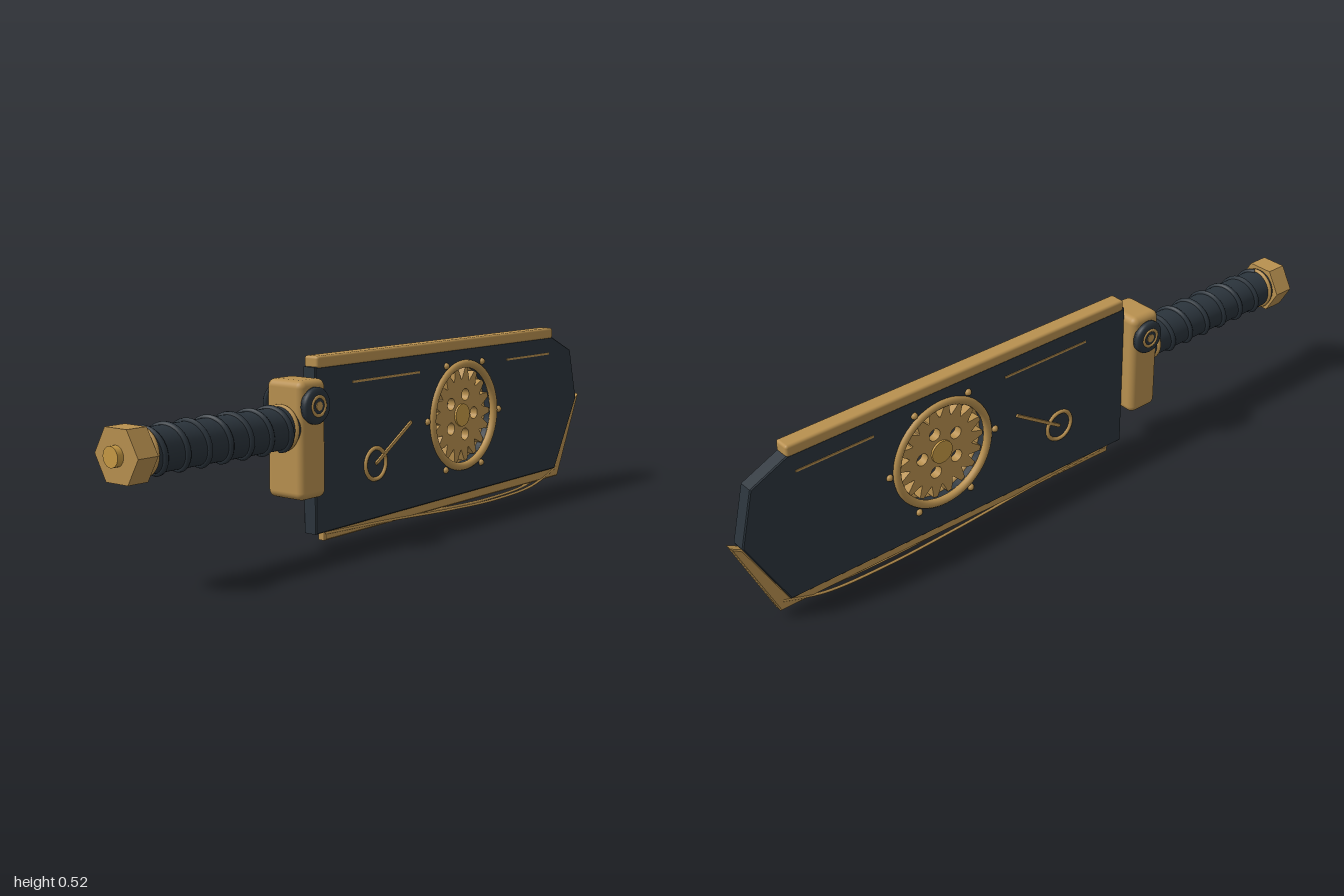
import * as THREE from 'three';
import { RoundedBoxGeometry } from 'three/addons/geometries/RoundedBoxGeometry.js';

const TAU = Math.PI * 2;
const HUB = new THREE.Vector2(0.347, 0.29);   // gear window centre
const AXIS_Y = 0.34;                          // handle height

export function createModel() {
  const model = new THREE.Group();
  model.name = 'mechanicalCleaver';
  const brass = new THREE.MeshStandardMaterial({ name: 'brass', color: 0xb8904f });
  const steel = new THREE.MeshStandardMaterial({ name: 'dark steel', color: 0x2b343c });
  const gold = new THREE.MeshStandardMaterial({ name: 'bright gold', color: 0xc79a45 });

  function add(name, geometry, material, x = 0, y = 0, z = 0, parent = model) {
    const mesh = new THREE.Mesh(geometry, material);
    mesh.name = name;
    mesh.position.set(x, y, z);
    parent.add(mesh);
    return mesh;
  }
  const shapeOf = (pts) => new THREE.Shape(pts.map(([x, y]) => new THREE.Vector2(x, y)));
  const circle = (x, y, r) => new THREE.Path().absarc(x, y, r, 0, TAU, true);
  // extrusion centred on z = 0, with a small bevel inside the total depth
  function plate(shape, depth, bevel = 0) {
    const g = new THREE.ExtrudeGeometry(shape, {
      depth: depth - 2 * bevel, curveSegments: 48, bevelEnabled: bevel > 0,
      bevelSize: bevel, bevelThickness: bevel, bevelOffset: -bevel, bevelSegments: 1,
    });
    return g.translate(0, 0, -depth / 2 + bevel);
  }
  // cylinder along z / along x
  const discZ = (r, h, n = 32) => new THREE.CylinderGeometry(r, r, h, n).rotateX(Math.PI / 2);
  const rodX = (r, h, n = 32) => new THREE.CylinderGeometry(r, r, h, n).rotateZ(Math.PI / 2);

  // Blade body with a round window
  const blade = shapeOf([[-0.315, 0.04], [0.85, 0.06], [0.97, 0.28], [0.93, 0.44], [0.82, 0.49], [-0.315, 0.49]]);
  blade.holes.push(circle(HUB.x, HUB.y, 0.15));
  add('blade', plate(blade, 0.044, 0.003), steel);

  // Spine cap along the back of the blade
  add('spine', new RoundedBoxGeometry(1.13, 0.034, 0.048, 3, 0.008), brass, 0.257, 0.502);

  // Cutting edge and pointed tip
  const edge = shapeOf([[-0.27, 0.015], [0.88, 0.03], [0.997, 0.29], [0.965, 0.272], [0.85, 0.065], [-0.27, 0.047]]);
  add('cuttingEdge', plate(edge, 0.028, 0.004), brass);

  // Two bowed wires under the edge
  for (const z of [-0.012, 0.012]) {
    const bow = new THREE.CatmullRomCurve3([
      [-0.27, 0.036], [0.0, 0.026], [0.3, 0.01], [0.54, 0.005], [0.74, 0.019], [0.87, 0.06],
    ].map(([x, y]) => new THREE.Vector3(x, y, z)));
    add('edgeWire', new THREE.TubeGeometry(bow, 48, 0.004, 8), brass);
  }

  // Gear inside the window
  const teeth = 18;
  const outline = [];
  for (let i = 0; i < teeth; i++) {
    for (const [t, r] of [[-0.46, 0.107], [-0.14, 0.142], [0.14, 0.142], [0.46, 0.107]]) {
      const a = ((i + t) / teeth) * TAU;
      outline.push([HUB.x + r * Math.cos(a), HUB.y + r * Math.sin(a)]);
    }
  }
  const gear = shapeOf(outline);
  for (let i = 0; i < 5; i++) {
    const a = (i / 5) * TAU;
    gear.holes.push(circle(HUB.x + 0.063 * Math.cos(a), HUB.y + 0.063 * Math.sin(a), 0.018));
  }
  add('gear', plate(gear, 0.026), brass);
  add('gearHub', discZ(0.034, 0.038), gold, HUB.x, HUB.y);

  // Details repeated on both faces
  for (const s of [1, -1]) {
    const side = new THREE.Group();
    side.name = s > 0 ? 'frontDetails' : 'backDetails';
    model.add(side);
    add('windowRing', new THREE.TorusGeometry(0.154, 0.012, 12, 64), brass, HUB.x, HUB.y, s * 0.021, side);
    for (let i = 0; i < 6; i++) {
      const a = (i / 6) * TAU;
      add('stud', new THREE.SphereGeometry(0.01, 12, 8), brass,
        HUB.x + 0.178 * Math.cos(a), HUB.y + 0.178 * Math.sin(a), s * 0.022, side);
    }
    // engraved lines
    add('longLine', new THREE.BoxGeometry(0.295, 0.006, 0.003), brass, -0.017, 0.438, s * 0.0225, side);
    add('shortLine', new THREE.BoxGeometry(0.235, 0.006, 0.003), brass, 0.683, 0.438, s * 0.0225, side);
    // ring and pointer
    add('pointerRing', new THREE.TorusGeometry(0.044, 0.006, 8, 40), brass, -0.067, 0.2, s * 0.023, side);
    const pointer = add('pointer', new THREE.BoxGeometry(0.187, 0.009, 0.008), brass, 0.012, 0.25, s * 0.024, side);
    pointer.rotation.z = Math.atan2(0.1, 0.158);
    // pivot on the guard
    const pivot = new THREE.LatheGeometry([
      [0, 0], [0.049, 0], [0.049, 0.013], [0.045, 0.018], [0.036, 0.02], [0, 0.02],
    ].map(([r, h]) => new THREE.Vector2(r, h)), 40).rotateX(s * Math.PI / 2);
    add('pivotDisc', pivot, steel, -0.365, 0.398, s * 0.06, side);
    add('pivotRing', new THREE.TorusGeometry(0.025, 0.005, 10, 32), brass, -0.365, 0.398, s * 0.078, side);
    add('pivotBolt', discZ(0.012, 0.006, 20), brass, -0.365, 0.398, s * 0.079, side);
  }

  // Guard block
  add('guard', new RoundedBoxGeometry(0.1, 0.315, 0.127, 4, 0.02), brass, -0.365, 0.3075);

  // Grip with helical wrap
  add('grip', rodX(0.057, 0.51), steel, -0.665, AXIS_Y);
  const turns = 6.5, helix = [];
  for (let i = 0; i <= turns * 16; i++) {
    const a = (i / 16) * TAU;
    helix.push(new THREE.Vector3(-0.9 + (0.47 * i) / (turns * 16), AXIS_Y + 0.057 * Math.cos(a), 0.057 * Math.sin(a)));
  }
  add('gripWrap', new THREE.TubeGeometry(new THREE.CatmullRomCurve3(helix), 260, 0.008, 8), steel);
  for (const x of [-0.907, -0.425]) {
    add('gripCollar', new THREE.TorusGeometry(0.056, 0.007, 10, 40).rotateY(Math.PI / 2), brass, x, AXIS_Y);
  }

  // Hexagonal pommel: flats up and down, corners to front and back
  const pommel = new THREE.CylinderGeometry(0.076, 0.076, 0.062, 6).rotateZ(Math.PI / 2).toNonIndexed();
  pommel.computeVertexNormals();
  add('pommel', pommel, brass, -0.951, AXIS_Y);
  add('pommelCap', rodX(0.026, 0.03, 24), gold, -0.985, AXIS_Y);

  return model;
}
